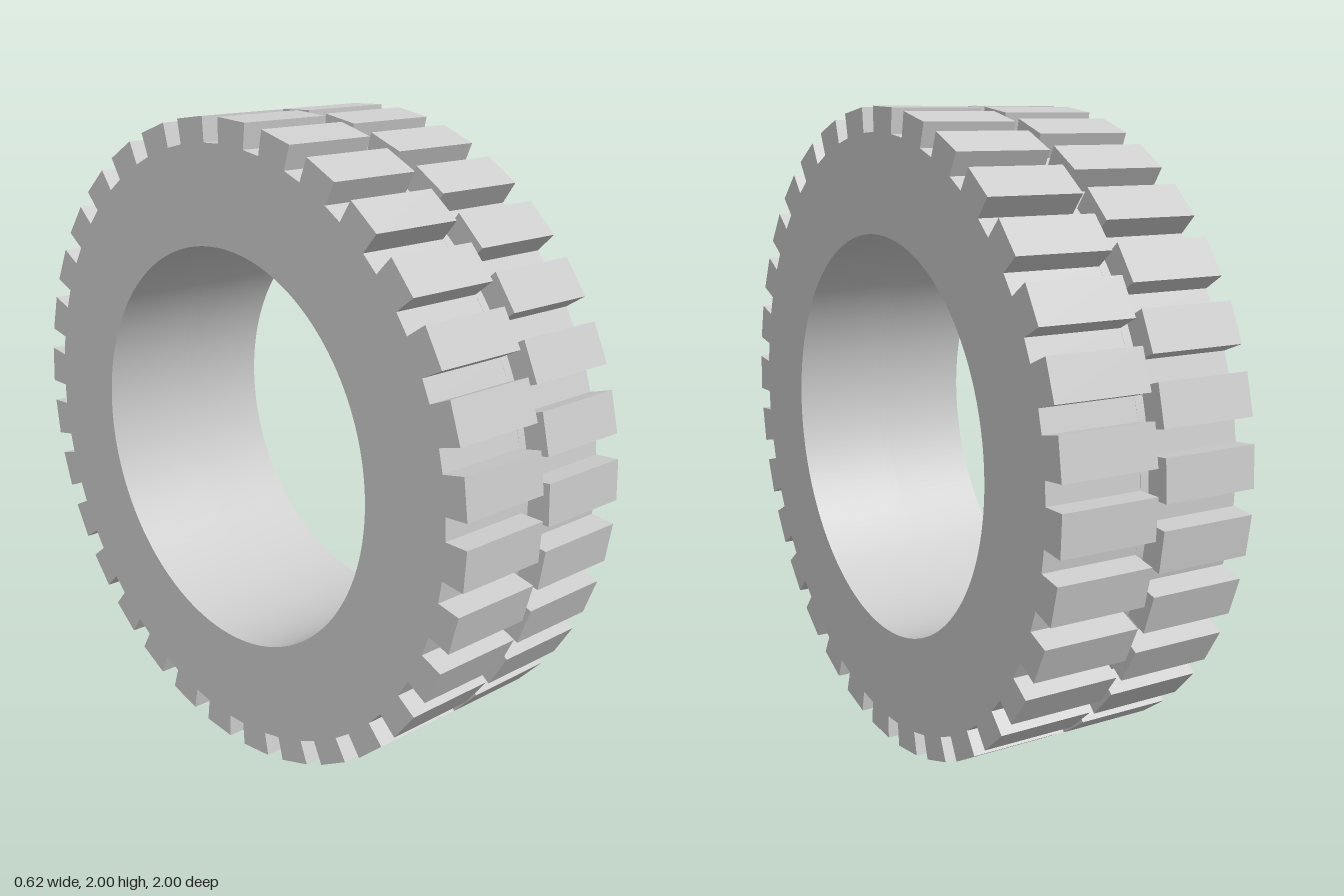
import * as THREE from 'three';
import { toCreasedNormals } from 'three/addons/utils/BufferGeometryUtils.js';

const TEETH = 32, TIP = 1, ROOT = 0.925, BORE = 0.625;
const HALF_WIDTH = 0.31, HALF_GROOVE = 0.013;
const PITCH = (Math.PI * 2) / TEETH;
const NOTCH = THREE.MathUtils.degToRad(4.25);

// Cut the bore, extrude along +x from x0 to x1, keep the bore smooth
function ring(shape, x0, x1) {
  const bore = new THREE.Path();
  bore.absarc(0, 0, BORE, 0, Math.PI * 2, false);
  shape.holes.push(bore);
  const geo = new THREE.ExtrudeGeometry(shape, { depth: x1 - x0, bevelEnabled: false, curveSegments: 96 });
  geo.rotateY(Math.PI / 2);
  geo.translate(x0, 0, 0);
  return toCreasedNormals(geo, 0.3);
}

// Outline of one row of flat-topped blocks; angles run from the front (+z) upwards
function treadShape(firstNotch) {
  const points = [];
  const add = (r, a) => points.push(new THREE.Vector2(-r * Math.cos(a), r * Math.sin(a)));
  for (let i = 0; i < TEETH; i++) {
    const start = firstNotch + i * PITCH - NOTCH / 2;
    add(TIP, start);
    add(ROOT, start);
    add(ROOT, start + NOTCH);
    add(TIP, start + NOTCH);
  }
  return new THREE.Shape(points);
}

export function createModel() {
  const group = new THREE.Group();
  group.name = 'tire';
  const rubber = new THREE.MeshStandardMaterial({ color: 0xcccccc });
  rubber.name = 'light grey';

  const add = (name, geometry) => {
    const mesh = new THREE.Mesh(geometry, rubber);
    mesh.name = name;
    mesh.position.y = TIP;
    group.add(mesh);
  };

  // Two tread rows, staggered by half a pitch
  const phase = THREE.MathUtils.degToRad(-3.35);
  add('leftTread', ring(treadShape(phase), HALF_GROOVE, HALF_WIDTH));
  add('rightTread', ring(treadShape(phase + PITCH / 2), -HALF_WIDTH, -HALF_GROOVE));

  // Narrow groove between the rows
  const disc = new THREE.Shape();
  disc.absarc(0, 0, ROOT, 0, Math.PI * 2, false);
  add('centerGroove', ring(disc, -HALF_GROOVE, HALF_GROOVE));

  return group;
}
